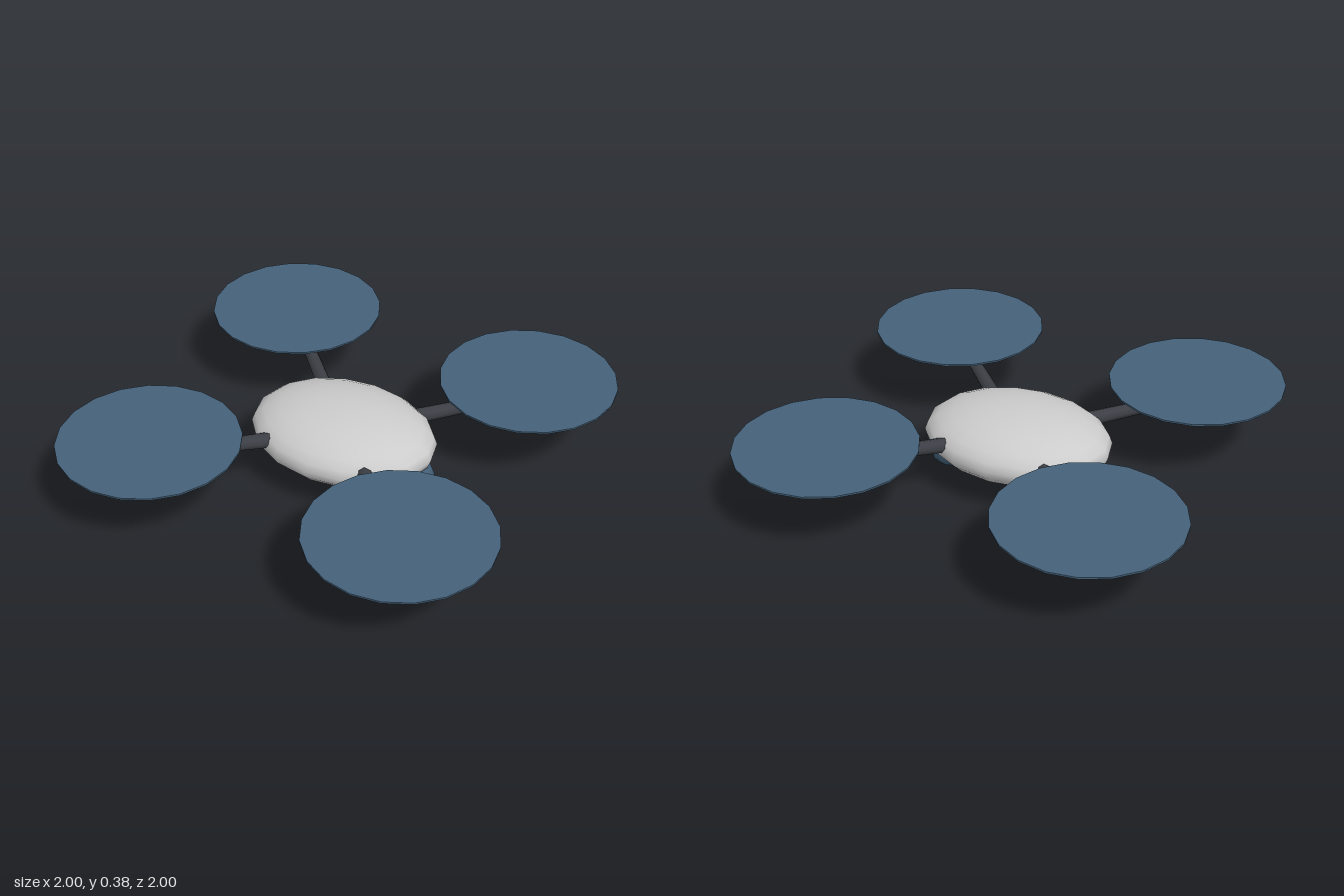
import * as THREE from 'three';

const paint = (color) => new THREE.MeshStandardMaterial({ color });

function part(parent, name, geometry, material, x = 0, y = 0, z = 0) {
  const mesh = new THREE.Mesh(geometry, material);
  mesh.name = name;
  mesh.position.set(x, y, z);
  parent.add(mesh);
  return mesh;
}

export function createModel() {
  const model = new THREE.Group();
  model.name = 'quadcopter';

  const grey = paint(0xcccccc);
  const dark = paint(0x3c3f45);
  const blue = paint(0x446179);
  const pink = paint(0xe066cc);
  const cyan = paint(0x4fd8e6);

  // Flattened egg-shaped hull
  const hull = new THREE.SphereGeometry(1, 16, 12).scale(0.43, 0.147, 0.328);
  part(model, 'body', hull, grey, 0, 0.232, 0);

  // Camera ball slung under one end
  part(model, 'cameraBall', new THREE.SphereGeometry(0.11, 12, 9), blue, 0.33, 0.112, 0);

  // Shared rotor geometry
  const hub = 0.603;
  const motorGeo = new THREE.CylinderGeometry(0.063, 0.063, 0.115, 16);
  const discGeo = new THREE.CylinderGeometry(0.397, 0.397, 0.008, 20);
  const lightGeo = new THREE.SphereGeometry(0.032, 10, 8);

  // Tapered arm from inside the hull out to the motor
  const start = new THREE.Vector3(0.2, 0.25, 0.2);
  const end = new THREE.Vector3(hub, 0.279, hub);
  const armGeo = new THREE.CylinderGeometry(0.026, 0.035, start.distanceTo(end), 8);
  const up = new THREE.Vector3(0, 1, 0);

  for (const sx of [1, -1]) {
    for (const sz of [1, -1]) {
      const rotor = new THREE.Group();
      rotor.name = (sz > 0 ? 'front' : 'back') + (sx > 0 ? 'Left' : 'Right') + 'Rotor';
      model.add(rotor);

      const side = new THREE.Vector3(sx, 1, sz);
      const a = start.clone().multiply(side);
      const b = end.clone().multiply(side);
      const arm = part(rotor, 'arm', armGeo, dark);
      arm.position.copy(a).lerp(b, 0.5);
      arm.quaternion.setFromUnitVectors(up, b.sub(a).normalize());

      part(rotor, 'motor', motorGeo, dark, sx * hub, 0.277, sz * hub);
      part(rotor, 'rotorDisc', discGeo, blue, sx * hub, 0.354, sz * hub);
      // Pink lights at the front, cyan at the back
      part(rotor, 'signalLight', lightGeo, sz > 0 ? pink : cyan, sx * hub, 0.187, sz * hub);
    }
  }
  return model;
}
